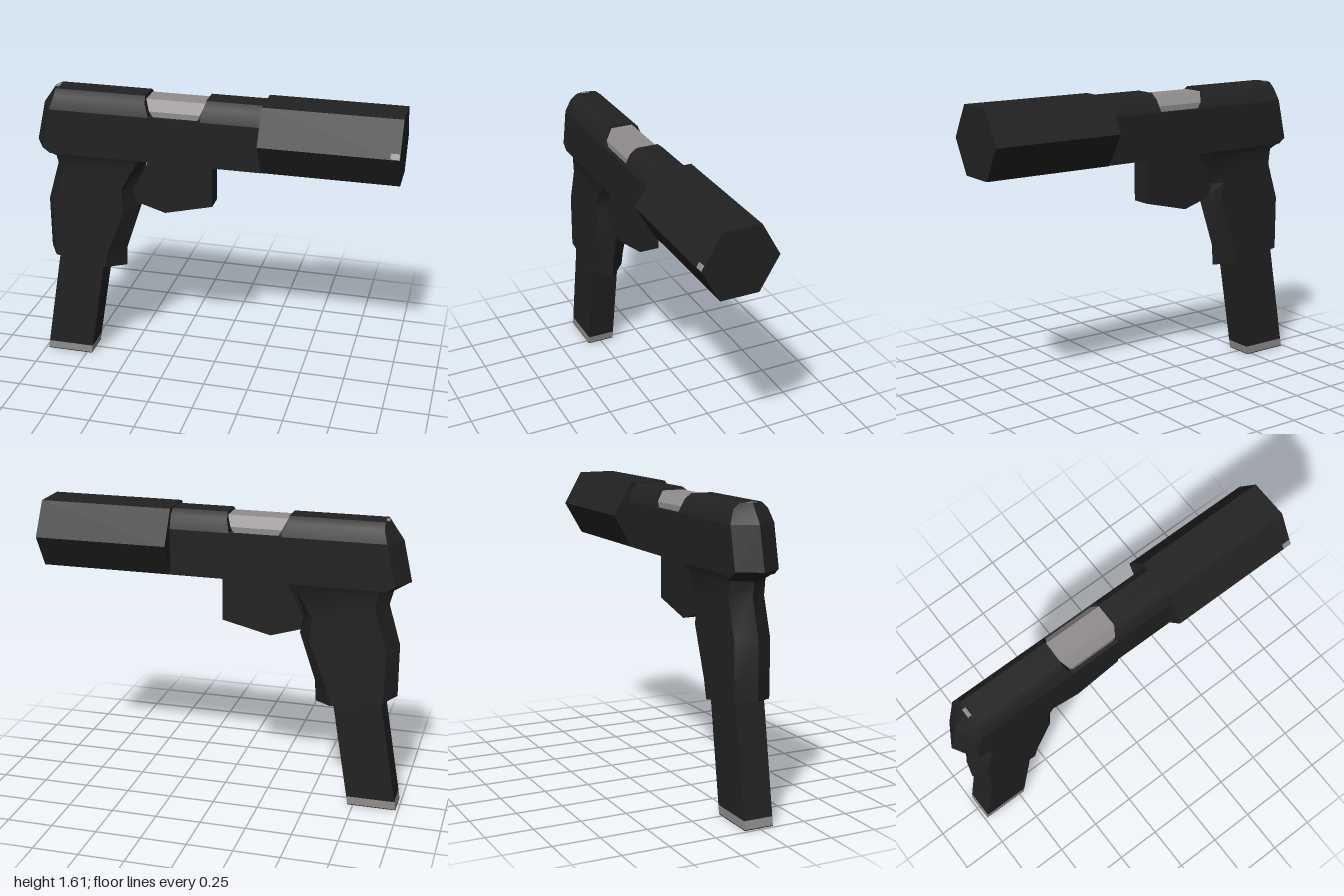
import * as THREE from 'three';
import { toCreasedNormals } from 'three/addons/utils/BufferGeometryUtils.js';

// Stacks six-sided rings from bottom to top.
// Ring: [yRear, yFront, xRear, xFront, halfWidth, rearInset, frontInset]
function loft(rings) {
  const pos = [], index = [];
  for (const [yr, yf, xr, xf, w, ir, jf] of rings) {
    const points = [[xr, 0], [xr + ir, w], [xf - jf, w], [xf, 0], [xf - jf, -w], [xr + ir, -w]];
    for (const [x, z] of points) pos.push(x, yr + (yf - yr) * (x - xr) / (xf - xr), z);
  }
  const top = (rings.length - 1) * 6;
  for (let r = 0; r < top; r += 6) {
    for (let i = 0; i < 6; i++) {
      const j = (i + 1) % 6;
      index.push(r + i, r + j, r + 6 + j, r + i, r + 6 + j, r + 6 + i);
    }
  }
  for (let i = 1; i < 5; i++) index.push(0, i + 1, i, top, top + i, top + i + 1);
  const geo = new THREE.BufferGeometry();
  geo.setAttribute('position', new THREE.Float32BufferAttribute(pos, 3));
  geo.setIndex(index);
  return toCreasedNormals(geo, 0.6);
}

export function createModel() {
  const group = new THREE.Group();
  const black = new THREE.MeshStandardMaterial({ color: 0x222222 });
  black.name = 'black';
  const grey = new THREE.MeshStandardMaterial({ color: 0x918d8d });
  grey.name = 'grey';

  const add = (name, geo, mat) => {
    const mesh = new THREE.Mesh(geo, mat);
    mesh.name = name;
    group.add(mesh);
    return mesh;
  };

  // Slide: full-length lower body, upper body split around the port
  add('slideLower', loft([
    [1.25, 1.25, -0.95, 0.28, 0.12, 0.06, 0],
    [1.28, 1.28, -1, 0.28, 0.12, 0.07, 0],
    [1.5, 1.5, -0.95, 0.28, 0.12, 0.07, 0],
  ]), black);
  add('slideRear', loft([
    [1.5, 1.5, -0.95, -0.33, 0.12, 0.07, 0],
    [1.57, 1.57, -0.9, -0.355, 0.095, 0.04, 0],
    [1.6, 1.6, -0.88, -0.36, 0.06, 0.02, 0],
  ]), black);
  add('slideFront', loft([
    [1.5, 1.5, -0.05, 0.28, 0.12, 0, 0],
    [1.57, 1.57, -0.035, 0.28, 0.095, 0, 0],
    [1.6, 1.6, -0.03, 0.28, 0.06, 0, 0],
  ]), black);

  // Chamber block showing in the port
  add('chamber', loft([
    [1.5, 1.5, -0.34, -0.04, 0.1, 0.03, 0.03],
    [1.53, 1.53, -0.35, -0.035, 0.1, 0.02, 0.02],
    [1.585, 1.585, -0.355, -0.03, 0.06, 0, 0],
  ]), grey);

  // Hexagonal muzzle cylinder
  const muzzle = new THREE.CylinderGeometry(0.208, 0.208, 0.727, 6);
  muzzle.rotateZ(Math.PI / 2);
  add('muzzleCylinder', toCreasedNormals(muzzle, 0.6), black).position.set(0.6365, 1.425, 0);

  // Small painted marks at the muzzle and rear
  const mark = add('muzzleMark', new THREE.BoxGeometry(0.045, 0.03, 0.006), grey);
  mark.position.set(0.975, 1.44, 0.199);
  mark.rotation.x = -Math.PI / 6;
  add('rearMark', new THREE.BoxGeometry(0.02, 0.004, 0.05), grey).position.set(-0.865, 1.599, 0);

  // Grip
  add('grip', loft([
    [0.64, 0.565, -0.955, -0.51, 0.1, 0.06, 0.1],
    [0.7, 0.68, -0.955, -0.505, 0.1, 0.06, 0.08],
    [0.93, 0.95, -0.955, -0.415, 0.1, 0.06, 0.07],
    [1.15, 1.05, -0.89, -0.44, 0.1, 0.06, 0.06],
    [1.225, 1.21, -0.91, -0.375, 0.1, 0.07, 0.04],
    [1.265, 1.255, -0.975, -0.355, 0.12, 0.07, 0.03],
  ]), black);

  // Solid trigger guard
  const outline = new THREE.Shape([
    [-0.34, 1.26], [-0.445, 1.05], [-0.43, 0.985], [-0.265, 0.935], [0, 1], [0, 1.26],
  ].map(([x, y]) => new THREE.Vector2(x, y)));
  const guard = new THREE.ExtrudeGeometry(outline, { depth: 0.11, bevelEnabled: false });
  guard.translate(0, 0, -0.055);
  add('triggerGuard', guard, black);

  // Slanted magazine with a grey base band and black sole
  const magRing = (y) => [y, y, -0.985 + 0.17 * y, -0.72 + 0.165 * y, 0.08, 0, 0];
  add('magazine', loft([magRing(0.048), magRing(0.72)]), black);
  add('magazineBase', loft([magRing(0.004), magRing(0.048)]), grey);
  add('magazineSole', loft([magRing(0), magRing(0.004)]), black);

  return group;
}
